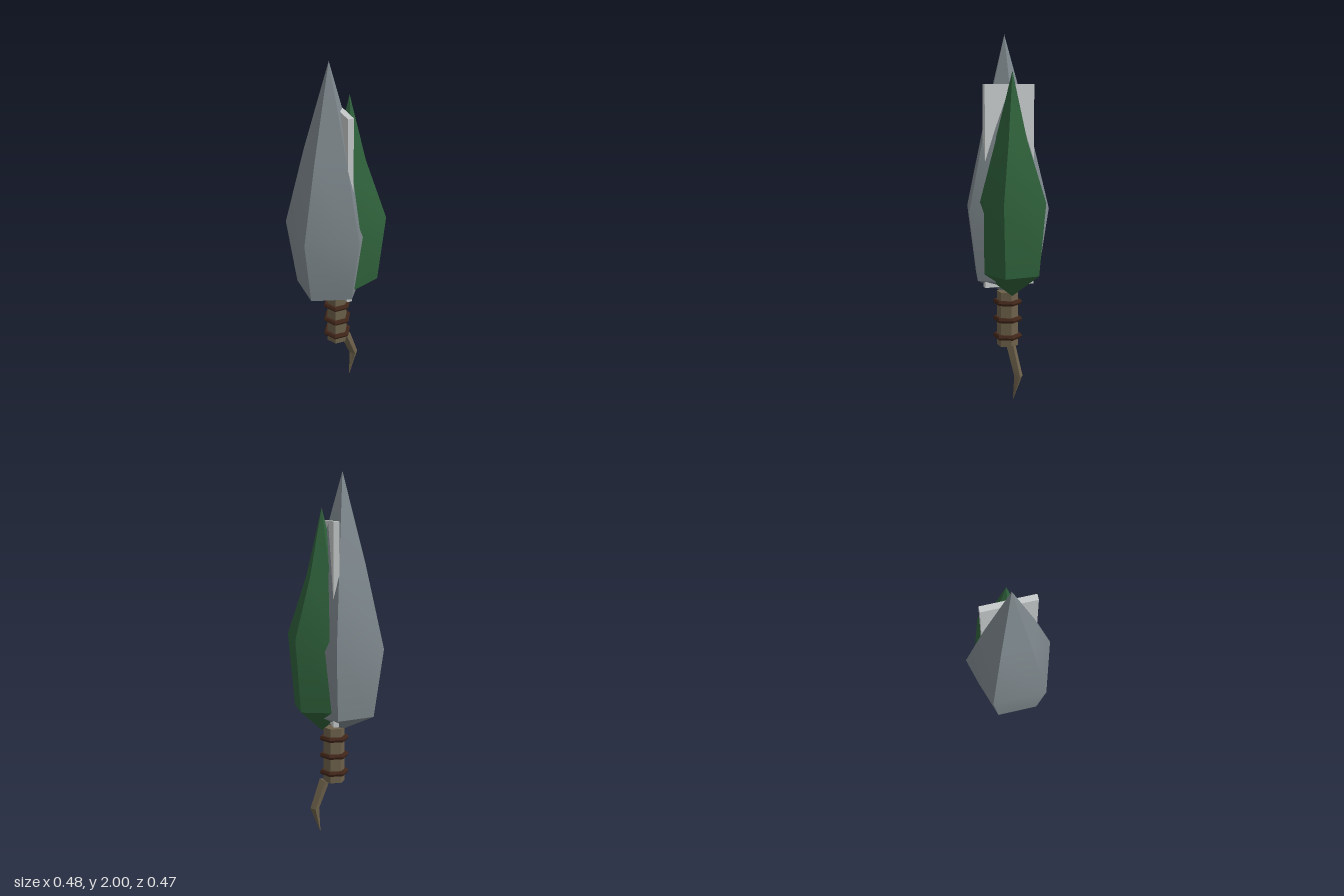
import * as THREE from 'three';
import { toCreasedNormals } from 'three/addons/utils/BufferGeometryUtils.js';

const mat = (name, color) => new THREE.MeshStandardMaterial({ name, color });

export function createModel() {
  const grey = mat('slate grey', 0x7f898e);
  const green = mat('leaf green', 0x2f613b);
  const pale = mat('pale grey', 0xc6caca);
  const wood = mat('dull wood', 0x6c604a);
  const cord = mat('dark cord', 0x41261a);

  const group = new THREE.Group();
  const add = (name, geometry, material, x = 0, y = 0, z = 0) => {
    const mesh = new THREE.Mesh(toCreasedNormals(geometry, 0.5), material);
    mesh.name = name;
    mesh.position.set(x, y, z);
    group.add(mesh);
    return mesh;
  };

  // Five-sided pointed shell from [radius, height] pairs, bottom to top
  const shell = (profile, start) =>
    new THREE.LatheGeometry(profile.map(([r, y]) => new THREE.Vector2(r, y)), 5, start);

  // Large shell with one ridge toward +x
  add('greyShell', shell(
    [[0, 0.59], [0.19, 0.68], [0.247, 1.06], [0.137, 1.51], [0, 2]], Math.PI / 2), grey, -0.045);

  // Smaller shell facing the other way, turned very slightly
  add('greenShell', shell(
    [[0, 0.59], [0.167, 0.72], [0.207, 1.12], [0.09, 1.45], [0, 1.81]], -Math.PI / 2),
    green, 0.068).rotation.y = 0.02;

  // Flat plate between the shells
  add('innerPlate', new THREE.BoxGeometry(0.032, 1.1, 0.286), pale, 0.016, 1.19);

  // Hexagonal stem with three cord rings
  add('stem', new THREE.CylinderGeometry(0.06, 0.06, 0.31, 6).rotateY(Math.PI / 6), wood, 0, 0.45);
  for (const y of [0.35, 0.448, 0.545]) {
    add('cordRing', new THREE.TorusGeometry(0.067, 0.015, 6, 6).rotateX(Math.PI / 2), cord, 0, y);
  }

  // Bent root: four-sided sections from top to tip [x, y, z, radius]
  const sections = [[0.055, 0.3, 0, 0.027], [0.114, 0.145, -0.018, 0.025], [0.08, 0, 0, 0.001]];
  const positions = [], index = [];
  sections.forEach(([x, y, z, r], s) => {
    for (let i = 0; i < 4; i++) {
      const a = (i * Math.PI) / 2;
      const dx = r * Math.cos(a);
      positions.push(x + dx, y + (s === 0 ? dx * 0.4 : 0), z + r * Math.sin(a));
      if (s === 0) continue;
      const j = (i + 1) % 4, up = (s - 1) * 4, low = s * 4;
      index.push(up + i, up + j, low + i, up + j, low + j, low + i);
    }
  });
  index.push(0, 2, 1, 0, 3, 2, 8, 9, 10, 8, 10, 11);
  const root = new THREE.BufferGeometry();
  root.setAttribute('position', new THREE.Float32BufferAttribute(positions, 3));
  root.setIndex(index);
  add('bentRoot', root, wood);

  return group;
}
